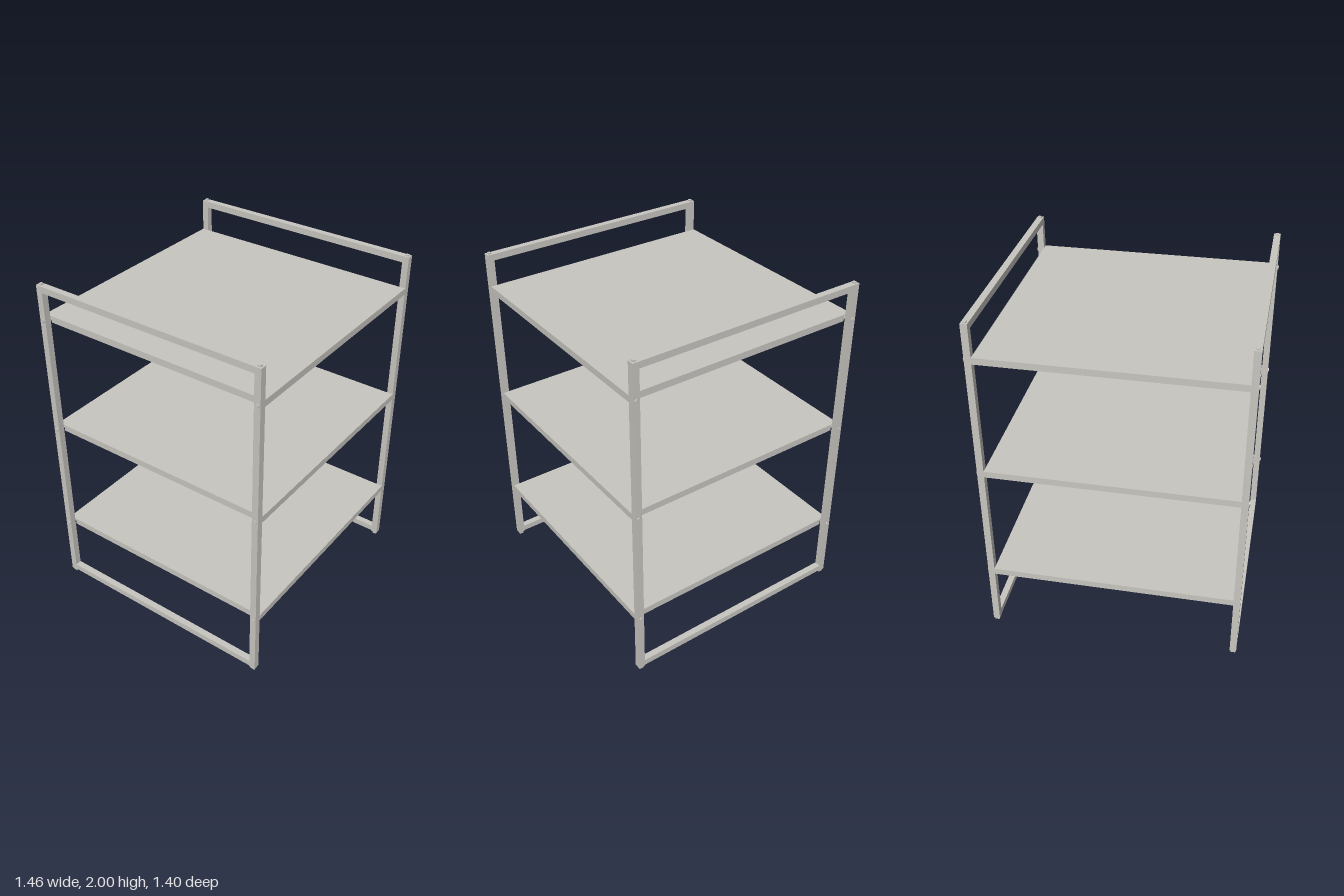
import * as THREE from 'three';

export function createModel() {
  const model = new THREE.Group();
  const steel = new THREE.MeshStandardMaterial({ color: 0xc8c6c0 });
  steel.name = 'warm grey steel';

  // box given by its lower and upper limits on each axis
  function box(name, parent, [x0, x1], [y0, y1], [z0, z1]) {
    const mesh = new THREE.Mesh(new THREE.BoxGeometry(x1 - x0, y1 - y0, z1 - z0), steel);
    mesh.position.set((x0 + x1) / 2, (y0 + y1) / 2, (z0 + z1) / 2);
    mesh.name = name;
    parent.add(mesh);
  }
  const span = (s, a, b) => (s > 0 ? [a, b] : [-b, -a]);

  const xIn = 0.688, xOut = 0.726, zIn = 0.663, zOut = 0.7;
  const shelfTops = [0.413, 1.11, 1.808];

  // side frames: posts, rails, end plugs and bolts
  for (const sx of [1, -1]) {
    const frame = new THREE.Group();
    frame.name = sx > 0 ? 'leftFrame' : 'rightFrame';
    model.add(frame);
    const x = span(sx, xIn, xOut);
    box('bottomRail', frame, x, [0.022, 0.059], [-zIn, zIn]);
    box('topRail', frame, x, [1.955, 1.992], [-zIn, zIn]);
    for (const sz of [1, -1]) {
      box('post', frame, x, [0.015, 1.992], span(sz, zIn, zOut));
      box('foot', frame, span(sx, 0.694, 0.72), [0, 0.015], span(sz, 0.669, 0.694));
      box('topPlug', frame, span(sx, 0.698, 0.716), [1.992, 2], span(sz, 0.673, 0.69));
      for (const top of shelfTops) {
        const bolt = new THREE.Mesh(new THREE.CylinderGeometry(0.012, 0.012, 0.01, 12), steel);
        bolt.name = 'bolt';
        bolt.rotation.z = Math.PI / 2;
        bolt.position.set(sx * 0.727, top - 0.019, sz * 0.682);
        frame.add(bolt);
      }
    }
  }

  // folded sheet shelves: panel, downturned edges and inward return lips
  for (const top of shelfTops) {
    const shelf = new THREE.Group();
    shelf.name = 'shelf';
    model.add(shelf);
    const low = top - 0.038, t = 0.006, lip = 0.02;
    box('panel', shelf, [-xIn, xIn], [top - t, top], [-zOut, zOut]);
    for (const s of [1, -1]) {
      box('longEdge', shelf, [-xIn, xIn], [low, top - t], span(s, zOut - t, zOut));
      box('longLip', shelf, [-xIn, xIn], [low, low + t], span(s, zOut - lip, zOut - t));
      box('sideEdge', shelf, span(s, xIn - t, xIn), [low, top - t], [-0.657, 0.657]);
      box('sideLip', shelf, span(s, xIn - lip, xIn - t), [low, low + t], [-0.657, 0.657]);
    }
  }
  return model;
}
